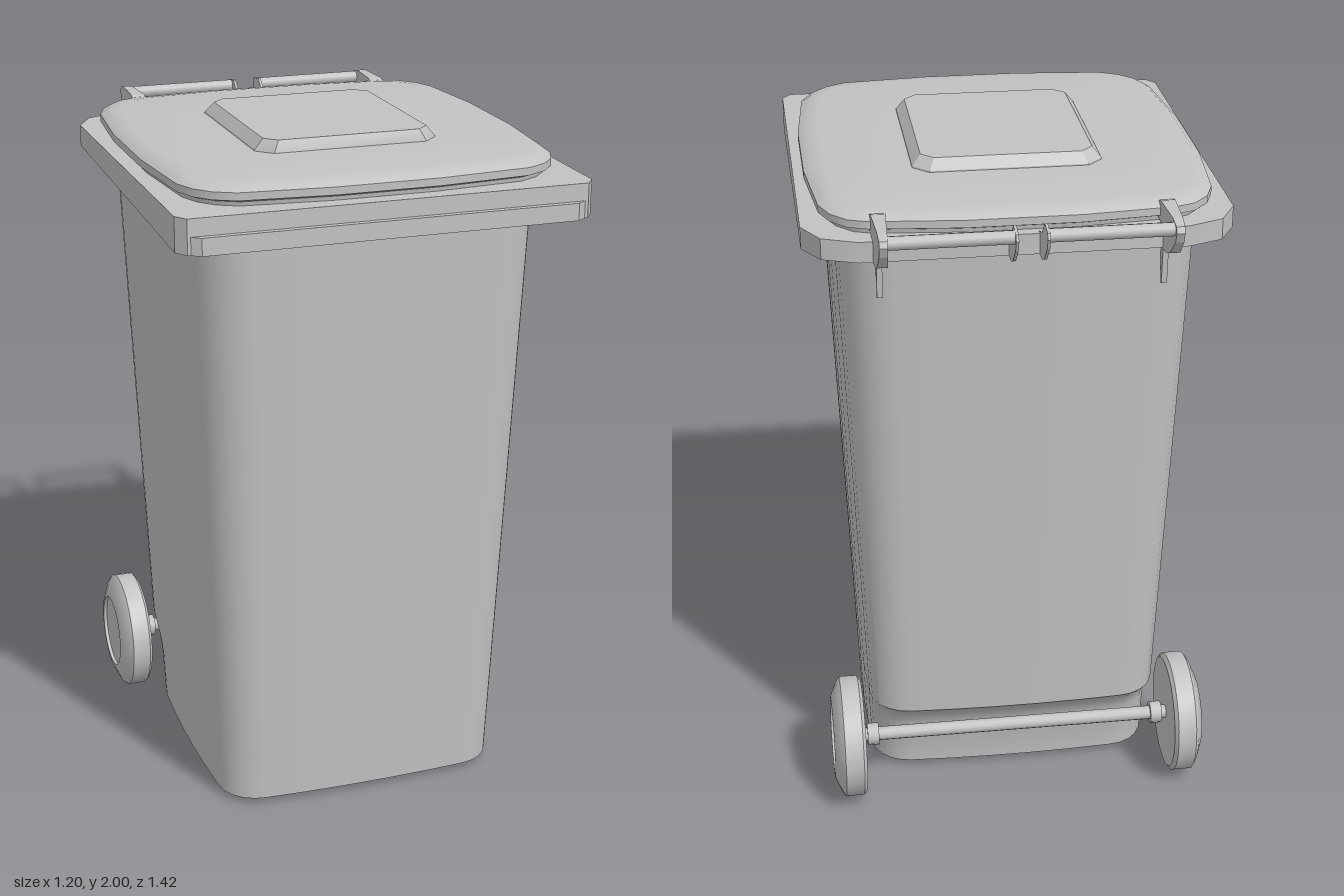
import * as THREE from 'three';
import { toCreasedNormals } from 'three/addons/utils/BufferGeometryUtils.js';

// Skin a stack of closed rings (listed bottom to top); rings run x -> z
function loft(rings, capBottom, capTop) {
  const pos = [];
  const tri = (a, b, c) => pos.push(...a, ...b, ...c);
  const n = rings[0].length;
  const centre = (r) => [0, 1, 2].map((k) => r.reduce((s, p) => s + p[k], 0) / n);
  const low = rings[0], high = rings[rings.length - 1];
  const cLow = centre(low), cHigh = centre(high);
  for (let j = 0; j < n; j++) {
    const k = (j + 1) % n;
    for (let i = 0; i < rings.length - 1; i++) {
      const a = rings[i], b = rings[i + 1];
      tri(a[j], b[j], a[k]);
      tri(b[j], b[k], a[k]);
    }
    if (capBottom) tri(cLow, low[j], low[k]);
    if (capTop) tri(cHigh, high[k], high[j]);
  }
  const geo = new THREE.BufferGeometry();
  geo.setAttribute('position', new THREE.Float32BufferAttribute(pos, 3));
  return toCreasedNormals(geo, 0.5);
}

// Rounded rectangle with gently bowed sides
function roundedRing(y, halfX, back, front, r, bow, steps = 5) {
  const pts = [];
  const corners = [[1, 1], [-1, 1], [-1, -1], [1, -1]];
  corners.forEach(([sx, sz], q) => {
    const cx = sx * (halfX - r), cz = sz > 0 ? front - r : back + r;
    for (let s = 0; s <= steps; s++) {
      const a = (q + s / steps) * Math.PI / 2;
      pts.push([cx + r * Math.cos(a), y, cz + r * Math.sin(a)]);
    }
    // points along the side that follows this corner
    const [nx, nz] = corners[(q + 1) % 4];
    const out = (q + 1) * Math.PI / 2;
    const p = pts[pts.length - 1];
    const e = [nx * (halfX - r) + r * Math.cos(out), (nz > 0 ? front - r : back + r) + r * Math.sin(out)];
    for (const t of [0.2, 0.4, 0.6, 0.8]) {
      const b = bow * 4 * t * (1 - t);
      pts.push([p[0] + (e[0] - p[0]) * t + b * Math.cos(out), y, p[2] + (e[1] - p[2]) * t + b * Math.sin(out)]);
    }
  });
  return pts;
}

// Mirror a half outline, listed from back to front on the +x side
const mirrorOutline = (half) => [...half, ...half.map(([x, z]) => [-x, z]).reverse()];

export function createModel() {
  const group = new THREE.Group();
  const grey = new THREE.MeshStandardMaterial({ color: 0xc2c2c2 });
  const greyOpen = new THREE.MeshStandardMaterial({ color: 0xc2c2c2, side: THREE.DoubleSide });
  greyOpen.name = 'greyPlasticOpen';
  grey.name = 'greyPlastic';
  const add = (name, geo, mat = grey) => {
    const mesh = new THREE.Mesh(geo, mat);
    mesh.name = name;
    group.add(mesh);
    return mesh;
  };

  // Tapered bin body with a recess for the axle low on the back
  const bodyRing = (y, back) => {
    const t = (y - 0.02) / 1.8;
    return roundedRing(y, 0.435 + 0.07 * t, back ?? -0.415 - 0.09 * t, 0.515 + 0.07 * t, 0.12 + 0.03 * t, 0.01);
  };
  add('body', loft([
    bodyRing(0.02, -0.325), bodyRing(0.17, -0.335), bodyRing(0.22, -0.36),
    bodyRing(0.28), bodyRing(1.0), bodyRing(1.87),
  ], true, true));

  // Lid skirt, open below, its lower edge rising to the back
  const skirt = mirrorOutline([
    [0.45, -0.57], [0.55, -0.53], [0.6, -0.44], [0.6, 0.655], [0.575, 0.69],
  ]);
  add('lidSkirt', loft([
    skirt.map(([x, z]) => [x, 1.8 + (0.69 - z) * 0.032, z]),
    skirt.map(([x, z]) => [x, 1.9, z]),
  ], false, true), greyOpen);

  // Front lip of the skirt
  const lip = mirrorOutline([[0.58, 0.68], [0.54, 0.708]]);
  add('frontLip', loft([1.8, 1.85].map((y) => lip.map(([x, z]) => [x, y, z])), true, true));

  // Domed lid with bowed outline
  const lid = mirrorOutline([
    [0.16, -0.555], [0.42, -0.53], [0.475, -0.51], [0.52, -0.46], [0.547, -0.39], [0.572, -0.12],
    [0.572, 0.2], [0.547, 0.49], [0.52, 0.555], [0.48, 0.6], [0.42, 0.632], [0.15, 0.658],
  ]);
  const lidRing = (y, s) => lid.map(([x, z]) => [x * s, y, 0.05 + (z - 0.05) * s]);
  add('lid', loft([
    lidRing(1.895, 0.965), lidRing(1.912, 0.97), lidRing(1.92, 1), lidRing(1.942, 1),
    lidRing(1.957, 0.965), lidRing(1.963, 0.9), lidRing(1.967, 0.4),
  ], false, true));

  // Raised panel on the lid
  const panelRing = (y, x, back, front, c) => mirrorOutline([
    [x - c, back], [x, back + c], [x, front - c], [x - c, front],
  ]).map(([px, pz]) => [px, y, pz]);
  add('lidPanel', loft([
    panelRing(1.955, 0.272, -0.247, 0.35, 0.045),
    panelRing(1.97, 0.27, -0.245, 0.348, 0.045),
    panelRing(2.0, 0.245, -0.22, 0.335, 0.035),
  ], false, true));

  // Plate cut in the side plane: points are [z, y]
  const sidePlate = (points, width, x) => {
    const shape = new THREE.Shape(points.map(([z, y]) => new THREE.Vector2(z, y)));
    const geo = new THREE.ExtrudeGeometry(shape, { depth: width, bevelEnabled: false });
    geo.translate(0, 0, -width / 2);
    geo.rotateY(-Math.PI / 2);
    geo.translate(x, 0, 0);
    return geo;
  };
  const armProfile = [
    [-0.49, 1.95], [-0.53, 1.962], [-0.66, 1.962], [-0.7, 1.952], [-0.708, 1.935], [-0.695, 1.905],
    [-0.645, 1.855], [-0.61, 1.84], [-0.56, 1.838], [-0.56, 1.9], [-0.49, 1.91],
  ];
  const finProfile = [
    [-0.55, 1.9], [-0.6, 1.915], [-0.65, 1.96], [-0.7, 1.952], [-0.708, 1.935], [-0.695, 1.905],
    [-0.645, 1.855], [-0.61, 1.84], [-0.55, 1.838],
  ];
  const tabProfile = [[-0.49, 1.84], [-0.53, 1.84], [-0.522, 1.715], [-0.51, 1.71]];

  // Wheel section: [radius, distance outward]
  const wheelProfile = [
    [0, 0.478], [0.1, 0.478], [0.172, 0.475], [0.185, 0.485], [0.185, 0.54], [0.172, 0.55],
    [0.125, 0.57], [0.115, 0.57], [0.113, 0.56], [0, 0.56],
  ].map(([r, h]) => new THREE.Vector2(r, h));

  for (const side of [1, -1]) {
    const label = side > 0 ? 'left' : 'right';
    // Handle arm tapering toward its tip, fin, tab and grip bar
    const arm = sidePlate(armProfile, 0.045, 0);
    const p = arm.attributes.position;
    for (let i = 0; i < p.count; i++) p.setX(i, p.getX(i) * (1 - 0.5 * (-0.49 - p.getZ(i)) / 0.218));
    arm.translate(side * 0.394, 0, 0);
    arm.computeVertexNormals();
    add(label + 'HandleArm', arm);
    add(label + 'HandleFin', sidePlate(finProfile, 0.008, side * 0.042));
    add(label + 'HandleTab', sidePlate(tabProfile, 0.016, side * 0.394));
    const bar = new THREE.CylinderGeometry(0.019, 0.019, 0.35, 12);
    bar.rotateZ(Math.PI / 2);
    add(label + 'GripBar', bar).position.set(side * 0.217, 1.937, -0.677);

    // Wheel and axle collar
    const wheel = toCreasedNormals(new THREE.LatheGeometry(wheelProfile, 24), 0.5);
    wheel.rotateZ(-side * Math.PI / 2);
    add(label + 'Wheel', wheel).position.set(0, 0.187, -0.4);
    const collar = new THREE.CylinderGeometry(0.034, 0.034, 0.035, 12);
    collar.rotateZ(Math.PI / 2);
    add(label + 'AxleCollar', collar).position.set(side * 0.445, 0.187, -0.4);
  }

  // Axle
  const axle = new THREE.CylinderGeometry(0.021, 0.021, 0.97, 12);
  axle.rotateZ(Math.PI / 2);
  add('axle', axle).position.set(0, 0.187, -0.4);

  return group;
}
